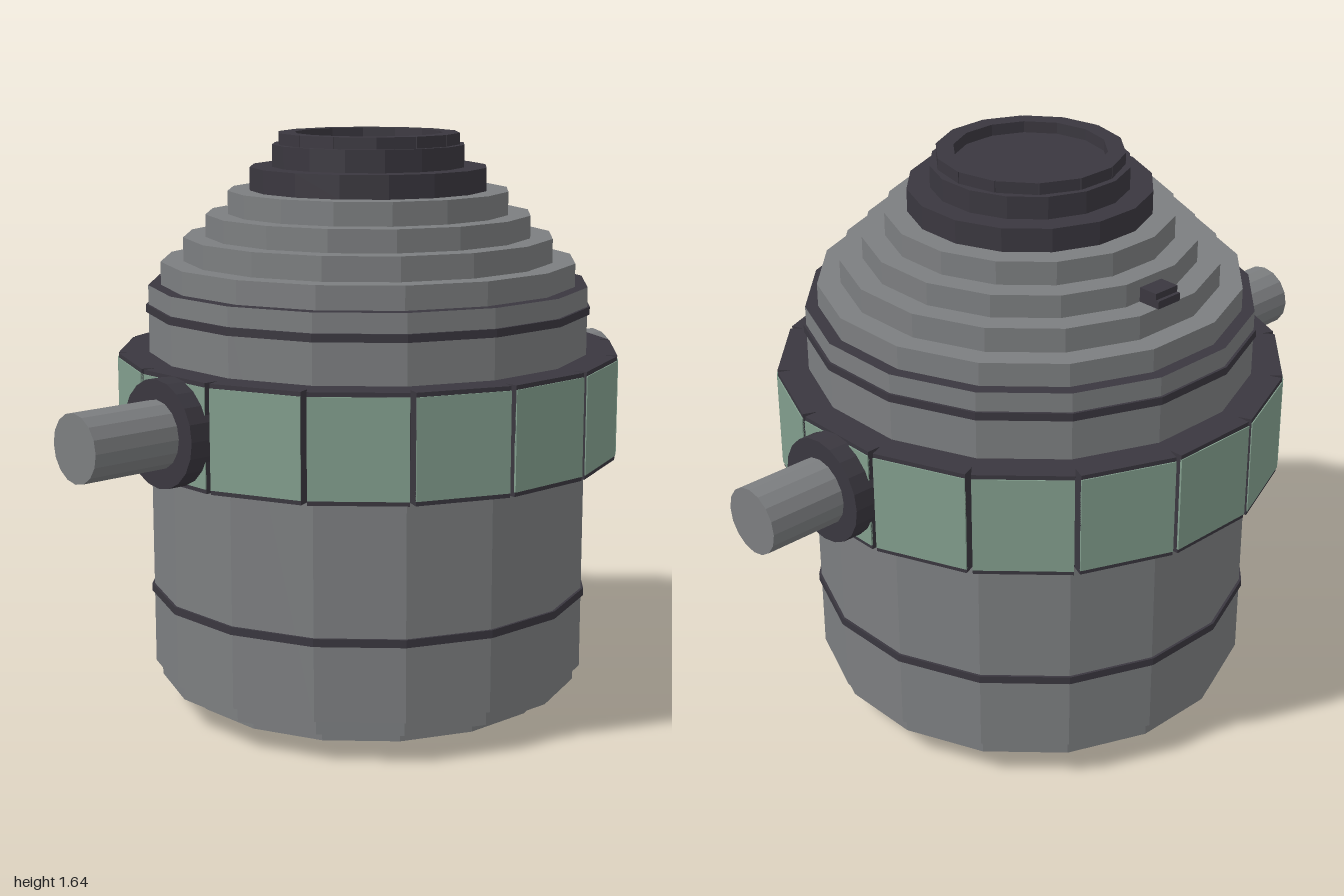
import * as THREE from 'three';

const SIDES = 16;
const CX = 0.018; // the vessel sits slightly off the pipe's midpoint

const steel = new THREE.MeshStandardMaterial({ color: 0x7c7e80 });
steel.name = 'steel grey';
const dark = new THREE.MeshStandardMaterial({ color: 0x3a373f });
dark.name = 'dark trim';
const green = new THREE.MeshStandardMaterial({ color: 0x829e8d });
green.name = 'green glass';

// Faceted normals stored in the geometry
function flat(geometry) {
  const g = geometry.index ? geometry.toNonIndexed() : geometry;
  g.computeVertexNormals();
  return g;
}

function add(parent, name, geometry, material, x = 0, y = 0, z = 0) {
  const mesh = new THREE.Mesh(geometry, material);
  mesh.name = name;
  mesh.position.set(x, y, z);
  parent.add(mesh);
  return mesh;
}

// 16-sided lathe with a flat side facing front; radii are measured to the flats
function lathe(profile) {
  const k = 1 / Math.cos(Math.PI / SIDES);
  const pts = profile.map(([r, y]) => new THREE.Vector2(r * k, y));
  return flat(new THREE.LatheGeometry(pts, SIDES, Math.PI / SIDES));
}

// Stacked steps: each entry is [radius, bottom, top]
function steps(list) {
  return list.flatMap(([r, y0, y1]) => [[r, y0], [r, y1]]);
}

// Calls build() for each of n segments turned around the vertical axis
function around(parent, n, name, build) {
  for (let i = 0; i < n; i++) {
    const segment = new THREE.Group();
    segment.name = name;
    segment.rotation.y = (i / n) * Math.PI * 2;
    build(segment);
    parent.add(segment);
  }
}

export function createModel() {
  const model = new THREE.Group();
  model.name = 'tank';
  const vessel = new THREE.Group();
  vessel.name = 'vessel';
  vessel.position.x = CX;
  model.add(vessel);

  // Body with stepped foot
  add(vessel, 'body', lathe([[0, 0], ...steps([
    [0.403, 0, 0.042], [0.53, 0.042, 0.083], [0.595, 0.083, 0.125], [0.613, 0.125, 1.225],
  ])]), steel);

  // Dark ledge between body and dome
  add(vessel, 'ledge', lathe([[0.613, 1.225], [0.578, 1.225]]), dark);

  // Stepped dome
  add(vessel, 'dome', lathe([...steps([
    [0.578, 1.225, 1.29], [0.515, 1.29, 1.357], [0.453, 1.357, 1.42], [0.391, 1.42, 1.485],
  ]), [0.32, 1.485]]), steel);

  // Dark cap with a recessed lid inside a segmented rim
  add(vessel, 'cap', lathe([...steps([[0.33, 1.485, 1.55], [0.268, 1.55, 1.612]]), [0, 1.612]]), dark);
  around(vessel, 14, 'rimSegment', (s) => {
    add(s, 'rimBlock', new THREE.BoxGeometry(0.112, 0.034, 0.047), dark, 0, 1.627, 0.2275);
  });

  // Thin bands around the body
  for (const y of [0.347, 1.16]) {
    const h = 0.011;
    add(vessel, 'band', lathe([[0.6, y - h], [0.62, y - h], [0.62, y + h], [0.6, y + h]]), dark);
  }

  // Collar of sixteen framed green panels
  around(vessel, SIDES, 'collarSegment', (s) => {
    add(s, 'panelFrame', new THREE.BoxGeometry(0.262, 0.295, 0.118), dark, 0, 0.8875, 0.64);
    add(s, 'panel', new THREE.BoxGeometry(0.262, 0.271, 0.006), green, 0, 0.8875, 0.699);
  });

  // Side pipes and their flanges
  for (const side of [-1, 1]) {
    const name = side > 0 ? 'left' : 'right';
    const start = CX * side + 0.6;
    const pipe = add(model, name + 'Pipe',
      flat(new THREE.CylinderGeometry(0.093, 0.093, 1 - start, 16)), steel,
      side * (1 + start) / 2, 0.8875, 0);
    pipe.rotation.z = Math.PI / 2;
    const flange = add(vessel, name + 'Flange',
      flat(new THREE.CylinderGeometry(0.147, 0.147, 0.087, 20)), dark, side * 0.7135, 0.8875, 0);
    flange.rotation.z = Math.PI / 2;
  }

  // Small latch on the back of the dome
  add(vessel, 'latchBase', new THREE.BoxGeometry(0.08, 0.022, 0.07), dark, 0, 1.368, -0.485);
  add(vessel, 'latchTop', new THREE.BoxGeometry(0.08, 0.02, 0.06), dark, 0, 1.387, -0.48);

  return model;
}
